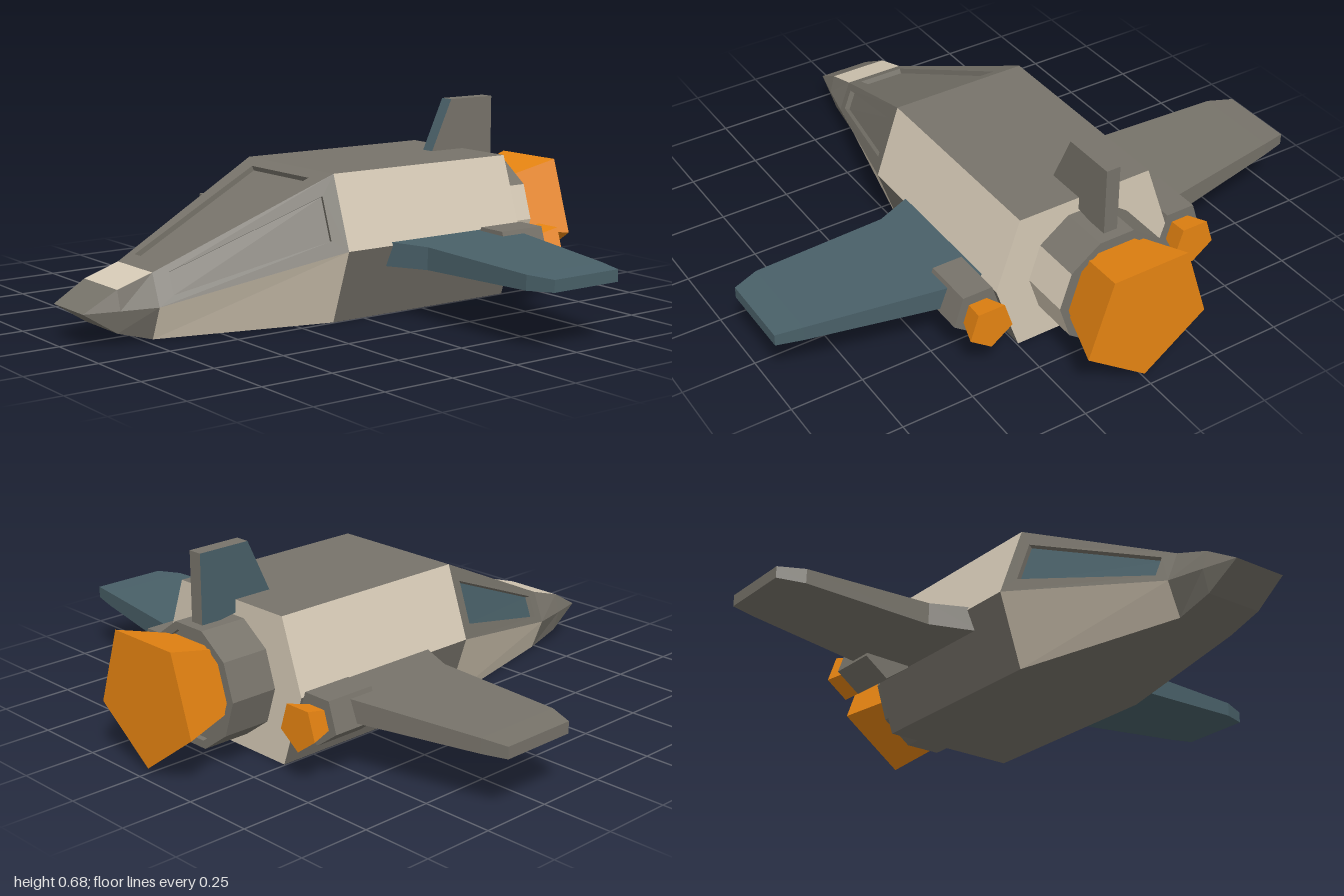
import * as THREE from 'three';

const V = (x, y, z) => new THREE.Vector3(x, y, z);
const makeMat = (name, color) => Object.assign(new THREE.MeshStandardMaterial({ color }), { name });

// Face whose front points away from ref (dir = 1) or towards it (dir = -1)
function addFace(faces, mat, [a, b, c, d], ref, dir = 1) {
  const n = c.clone().sub(a).cross(d.clone().sub(b));
  const mid = a.clone().add(b).add(c).add(d).multiplyScalar(0.25);
  const flip = n.dot(mid.sub(ref)) * dir < 0;
  faces.push({ mat, tris: flip ? [a, d, c, a, c, b] : [a, b, c, a, c, d] });
}

// Merge flat faces into one mesh with a material group per colour
function buildPart(name, faces) {
  const mats = [...new Set(faces.map(f => f.mat))];
  const geo = new THREE.BufferGeometry();
  const points = [];
  mats.forEach((m, i) => {
    const start = points.length;
    faces.filter(f => f.mat === m).forEach(f => points.push(...f.tris));
    geo.addGroup(start, points.length - start, i);
  });
  geo.setFromPoints(points);
  geo.computeVertexNormals();
  const mesh = new THREE.Mesh(geo, mats);
  mesh.name = name;
  return mesh;
}

// Quad framed around a sunken window; u runs a->b, v runs a->d
function addWindow(faces, frameMat, paneMat, [a, b, c, d], [u0, u1, v0, v1], depth, ref) {
  const at = (u, v) => a.clone().lerp(b, u).lerp(d.clone().lerp(c, u), v);
  const outer = [a, b, c, d];
  const rim = [at(u0, v0), at(u1, v0), at(u1, v1), at(u0, v1)];
  const n = c.clone().sub(a).cross(d.clone().sub(b)).normalize();
  if (n.dot(at(0.5, 0.5).sub(ref)) < 0) n.negate();
  const pane = rim.map(p => p.clone().addScaledVector(n, -depth));
  const centre = at(0.5, 0.5);
  for (let i = 0; i < 4; i++) {
    const j = (i + 1) % 4;
    addFace(faces, frameMat, [outer[i], outer[j], rim[j], rim[i]], ref);
    addFace(faces, frameMat, [rim[i], rim[j], pane[j], pane[i]], centre, -1);
  }
  addFace(faces, paneMat, pane, centre.clone().addScaledVector(n, -1));
}

// Five-sided tube along z with a corner at the bottom
function pentagon(name, mat, rFront, rBack, x, y, zFront, zBack) {
  let geo = new THREE.CylinderGeometry(rFront, rBack, zFront - zBack, 5);
  geo.rotateX(Math.PI / 2);
  geo = geo.toNonIndexed();
  geo.computeVertexNormals();
  const mesh = new THREE.Mesh(geo, mat);
  mesh.position.set(x, y, (zFront + zBack) / 2);
  mesh.name = name;
  return mesh;
}

export function createModel() {
  const grey = makeMat('hull grey', 0x77736a);
  const tan = makeMat('panel tan', 0xd6cab6);
  const teal = makeMat('panel teal', 0x496068);
  const orange = makeMat('nozzle orange', 0xe88512);
  const ship = new THREE.Group();
  ship.name = 'spaceShuttle';

  // Hull: six-sided sections [z, topX, topY, midX, midY, bottomX, bottomY]
  const rings = [
    [-0.62, 0.245, 0.495, 0.33, 0.25, 0.245, 0],
    [0.12, 0.245, 0.495, 0.33, 0.25, 0.245, 0],
    [0.725, 0.108, 0.22, 0.15, 0.115, 0.105, 0.004],
    [0.85, 0.105, 0.18, 0.123, 0.115, 0.102, 0.04],
    [0.966, 0.095, 0.115, 0.095, 0.115, 0.095, 0.115],
  ].map(([z, tx, ty, mx, my, bx, by]) => [
    V(tx, ty, z), V(mx, my, z), V(bx, by, z), V(-bx, by, z), V(-mx, my, z), V(-tx, ty, z),
  ]);
  // Colours per section: upper left, lower left, bottom, lower right, upper right, top
  const colours = [
    [tan, grey, grey, grey, tan, grey],
    [grey, tan, grey, tan, grey, grey],
    [grey, grey, grey, grey, grey, tan],
    [grey, grey, grey, grey, grey, grey],
  ];
  const panes = { 0: grey, 4: teal, 5: grey };
  const hull = [];
  colours.forEach((row, i) => row.forEach((mat, j) => {
    const k = (j + 1) % 6;
    const quad = [rings[i][j], rings[i + 1][j], rings[i + 1][k], rings[i][k]];
    const ref = V(0, i < 1 ? 0.25 : 0.12, quad[0].z / 2 + quad[1].z / 2);
    if (i === 1 && panes[j]) {
      const margins = j === 5 ? [0.07, 0.92, 0.15, 0.85] : [0.08, 0.92, 0.2, 0.8];
      addWindow(hull, mat, panes[j], quad, margins, 0.018, ref);
    } else addFace(hull, mat, quad, ref);
  }));
  const back = rings[0];
  addFace(hull, tan, [back[0], back[1], back[4], back[5]], V(0, 0.25, 0));
  addFace(hull, tan, [back[1], back[2], back[3], back[4]], V(0, 0.25, 0));
  ship.add(buildPart('hull', hull));

  // Wings: sections [x, front z, back z, half thickness]
  for (const [side, name, mat] of [[1, 'leftWing', teal], [-1, 'rightWing', grey]]) {
    const sections = [
      [0.29, -0.045, -0.53, 0.042], [0.45, -0.11, -0.53, 0.038],
      [0.91, -0.117, -0.44, 0.025], [1, -0.15, -0.42, 0.02],
    ].map(([x, f, b, t]) => [
      V(side * x, 0.22 + t, f), V(side * x, 0.22 + t, b),
      V(side * x, 0.22 - t, b), V(side * x, 0.22 - t, f),
    ]);
    const wing = [];
    for (let i = 0; i < 3; i++) {
      for (let j = 0; j < 4; j++) {
        const k = (j + 1) % 4;
        const quad = [sections[i][j], sections[i + 1][j], sections[i + 1][k], sections[i][k]];
        addFace(wing, mat, quad, V((quad[0].x + quad[1].x) / 2, 0.22, -0.28));
      }
    }
    addFace(wing, mat, sections[3], V(0, 0.22, -0.28));
    ship.add(buildPart(name, wing));

    // Small engine under each wing
    ship.add(pentagon('sideEngine', grey, 0.09, 0.09, side * 0.395, 0.2, -0.435, -0.615));
    ship.add(pentagon('sideNozzle', orange, 0.052, 0.081, side * 0.395, 0.194, -0.605, -0.695));
  }

  // Main engine: ten-sided housing with a shallow recess around the nozzle
  const housing = [];
  const centre = V(0, 0.245, -0.7);
  const corner = (i, r, z) => V(r * Math.cos(i * Math.PI / 5), 0.245 + r * Math.sin(i * Math.PI / 5), z);
  for (let i = 0; i < 10; i++) {
    const strip = (r0, z0, r1, z1) =>
      [corner(i, r0, z0), corner(i + 1, r0, z0), corner(i + 1, r1, z1), corner(i, r1, z1)];
    addFace(housing, i === 0 || i === 9 ? tan : grey, strip(0.207, -0.6, 0.207, -0.79), centre);
    addFace(housing, grey, strip(0.207, -0.79, 0.18, -0.79), centre);
    addFace(housing, grey, strip(0.18, -0.79, 0.18, -0.77), V(0, 0.245, -0.78), -1);
    addFace(housing, grey, strip(0.18, -0.77, 0, -0.77), centre);
  }
  ship.add(buildPart('mainEngine', housing));
  ship.add(pentagon('mainNozzle', orange, 0.168, 0.234, 0, 0.25, -0.765, -0.967));

  // Tail fin
  const outline = [[-0.47, 0.475], [-0.565, 0.675], [-0.755, 0.675], [-0.755, 0.43]];
  const [finL, finR] = [0.025, -0.025].map(x => outline.map(([z, y]) => V(x, y, z)));
  const fin = [];
  const finRef = V(0, 0.55, -0.64);
  addFace(fin, grey, finL, finRef);
  addFace(fin, teal, finR, finRef);
  [teal, grey, grey, grey].forEach((mat, i) => {
    const j = (i + 1) % 4;
    addFace(fin, mat, [finL[i], finL[j], finR[j], finR[i]], finRef);
  });
  ship.add(buildPart('tailFin', fin));

  return ship;
}
